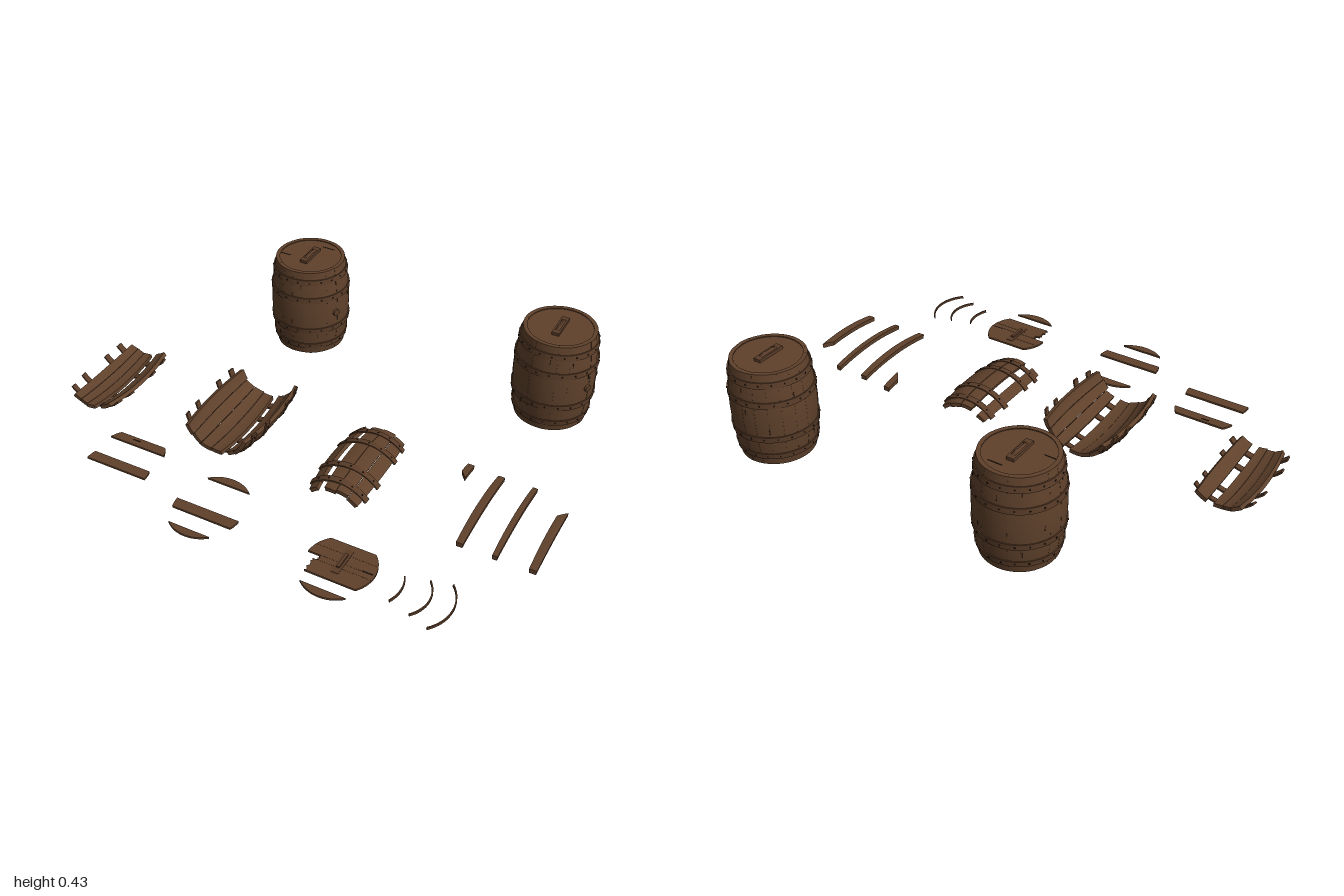
import * as THREE from 'three';
import { mergeGeometries } from 'three/addons/utils/BufferGeometryUtils.js';

const HALF = 0.197; // half the barrel height
const BANDS = [-0.155, -0.075, 0.075, 0.155];
const STAVE = Math.PI / 10;

const mat = (name, color) => {
  const m = new THREE.MeshStandardMaterial({ color });
  m.name = name;
  return m;
};
const WOOD = mat('oak wood', 0x5f412b);
const HOOP = mat('hoop brown', 0x593c28);
const DARK = mat('dark crack', 0x1f150e);

let seed = 7;
const rand = () => (seed = (seed * 16807) % 2147483647) / 2147483647;
const radiusAt = (y) => 0.142 + 0.02 * (1 - (y / HALF) ** 2);

// A box bent around the barrel axis and following its belly
function board({ phi = 0, width, y0, y1, out = 0, thick = 0.016, jag0 = 0, jag1 = 0, rows = 10 }) {
  const cols = Math.max(3, Math.ceil(width / 0.1));
  const g = new THREE.BoxGeometry(1, 1, 1, cols, rows, 1);
  const p = g.attributes.position;
  for (let i = 0; i < p.count; i++) {
    const u = p.getX(i), v = p.getY(i) + 0.5, w = p.getZ(i) + 0.5;
    const y = y0 + (y1 - y0) * v + jag0 * (u + 0.5) * (1 - v) + jag1 * (u + 0.5) * v;
    const r = radiusAt(y) + out - thick * (1 - w);
    const a = phi + u * width;
    p.setXYZ(i, r * Math.sin(a), y, r * Math.cos(a));
  }
  g.computeVertexNormals();
  return g;
}

function add(parent, name, geometry, material, x = 0, y = 0, z = 0) {
  const m = new THREE.Mesh(geometry, material);
  m.name = name;
  m.position.set(x, y, z);
  parent.add(m);
  return m;
}

function group(parent, name, x, y, z) {
  const g = new THREE.Group();
  g.name = name;
  g.position.set(x, y, z);
  parent.add(g);
  return g;
}

// Small nail heads along a hoop
function nails(y, from, to) {
  const list = [];
  for (let a = from + STAVE / 2; a < to; a += STAVE) {
    const n = new THREE.BoxGeometry(0.005, 0.005, 0.004);
    n.translate(0, y, radiusAt(y) + 0.004);
    list.push(n.rotateY(a));
  }
  return mergeGeometries(list);
}

function hoops(parent, from, to, ragged) {
  BANDS.forEach((y) => {
    const a = from - (ragged ? rand() * 0.08 : 0), b = to + (ragged ? rand() * 0.08 : 0);
    add(parent, 'hoop', board({ phi: (a + b) / 2, width: b - a, y0: y - 0.012, y1: y + 0.012, out: 0.004, thick: 0.007, rows: 1 }), HOOP);
    add(parent, 'hoopNails', nails(y, from, to), DARK);
  });
}

function staves(parent, from, to, ragged) {
  const n = Math.max(1, Math.round((to - from) / STAVE)), w = (to - from) / n;
  for (let i = 0; i < n; i++) {
    const j = () => (ragged ? (rand() - 0.5) * 0.012 : 0);
    add(parent, 'stave', board({
      phi: from + (i + 0.5) * w, width: w - (ragged ? 0.012 : 0.001), y0: -HALF + j(), y1: HALF + j(),
      out: (rand() - 0.5) * 0.0016, jag0: j(), jag1: j(),
    }), WOOD);
  }
}

function barrel(parent, x, z, cracked) {
  const g = group(parent, 'barrel', x, 0.217, z);
  staves(g, 0, 2 * Math.PI, false);
  hoops(g, 0, 2 * Math.PI, false);
  add(g, 'lid', new THREE.CylinderGeometry(0.132, 0.132, 0.014, 40), WOOD, 0, 0.186, 0);
  add(g, 'base', new THREE.CylinderGeometry(0.132, 0.132, 0.014, 40), WOOD, 0, -0.186, 0);
  add(g, 'handlePlate', new THREE.BoxGeometry(0.03, 0.012, 0.12), HOOP, 0, 0.199, 0.002);
  add(g, 'handleBar', new THREE.CylinderGeometry(0.005, 0.012, 0.012, 4).rotateY(Math.PI / 4).scale(1, 1, 5), HOOP, 0, 0.21, 0.002);
  // bung on the side
  const bung = add(g, 'bung', new THREE.CylinderGeometry(0.014, 0.016, 0.014, 16).rotateX(Math.PI / 2), HOOP);
  bung.position.setFromCylindricalCoords(0.163, 1.197, -0.002);
  bung.rotation.y = 1.197;
  // split marks in the staves
  for (let i = 0; i < 12; i++) {
    const y = (rand() - 0.5) * 0.3;
    add(g, 'split', board({ phi: i * 0.52 + rand() * 0.3, width: 0.012, y0: y, y1: y + 0.02, out: 0.0016, thick: 0.003, rows: 2 }), DARK);
  }
  if (cracked) {
    add(g, 'lidCrack', new THREE.BoxGeometry(0.055, 0.002, 0.004), DARK, 0.035, 0.193, -0.09);
    add(g, 'lidCrack', new THREE.BoxGeometry(0.05, 0.002, 0.004), DARK, -0.1, 0.193, 0.03);
  }
}

// Broken part of a barrel wall lying on its side
function wreck(parent, name, x, y, runs, from, to) {
  const g = group(parent, name, x, y, 0.115);
  g.rotation.x = Math.PI / 2;
  runs.forEach(([a, b]) => staves(g, a, b, true));
  hoops(g, from, to, true);
}

// Lid plank: the part of a disc between two chords, optionally snapped off at the left
function plank(parent, name, x, y, z, a, b, xMin = -1) {
  const R = 0.13, pts = [];
  const half = (t) => Math.sqrt(Math.max(0, R * R - t * t));
  for (let i = 0; i <= 10; i++) {
    const t = a + (b - a) * Math.sin((i / 10 - 0.5) * Math.PI) / 2 + (b - a) / 2;
    pts.push([half(t), t]);
  }
  const left = pts.map(([h, t], i) => new THREE.Vector2(Math.max(-h, xMin + (xMin > -1 ? (i % 3) * 0.004 : 0)), t)).reverse();
  const shape = new THREE.Shape([...pts.map(([h, t]) => new THREE.Vector2(h, t)), ...left]);
  const geo = new THREE.ExtrudeGeometry(shape, { depth: 0.008, bevelEnabled: false });
  add(parent, name, geo.rotateX(Math.PI / 2), WOOD, x, y, z);
}

export function createModel() {
  const model = new THREE.Group();
  model.name = 'barrelsAndWreckage';

  barrel(model, -0.375, -0.587, true);
  barrel(model, 0.712, -0.587, false);

  // broken wall sections
  wreck(model, 'shallowWallSection', -0.875, 0.19, [[-0.64, 0.15], [0.34, 0.73]], -0.82, 0.8);
  wreck(model, 'deepWallSection', -0.29, 0.188, [[-1.2, 0.17], [0.37, 1.32]], -1.33, 1.42);
  const up = Math.PI; // arched piece faces upward
  wreck(model, 'archedWallSection', 0.215, -0.06, [[up - 0.77, up + 0.28], [up + 0.51, up + 0.8]], up - 0.82, up + 0.82);

  // loose staves: x, width, ends, slant of the broken ends
  [
    [0.583, 0.19, -0.21, -0.115, 0, 0.035],
    [0.71, 0.19, -HALF, HALF, 0, 0],
    [0.842, 0.14, -HALF, HALF, 0, 0],
    [0.981, 0.2, -0.115, HALF, 0.04, 0],
  ].forEach(([x, width, y0, y1, jag0, jag1]) => {
    const g = group(model, 'looseStave', x, -0.098, 0.115);
    g.rotation.x = Math.PI / 2;
    add(g, 'stave', board({ phi: Math.PI, width, y0, y1, jag0: jag0 * 0.9, jag1: -jag1, thick: 0.019 }), WOOD);
  });

  // loose lid planks: x, z centre, chords
  [
    [-0.58, 0.457, -0.082, -0.042],
    [-0.578, 0.553, -0.038, 0.005],
    [-0.155, 0.535, -0.13, -0.094],
    [-0.153, 0.585, 0, 0.045],
    [-0.157, 0.604, 0.098, 0.13],
  ].forEach(([x, z, a, b]) => plank(model, 'loosePlank', x, 0.044, z, a, b));
  add(model, 'plankCrack', new THREE.BoxGeometry(0.03, 0.002, 0.004), DARK, -0.6, 0.0445, 0.39);

  // broken lid with its handle and a separate end piece
  const lid = group(model, 'brokenLid', 0.383, 0, 0.575);
  plank(lid, 'lidPlank', 0, 0.02, 0, -0.095, -0.045);
  plank(lid, 'lidPlank', 0, 0.02, 0, -0.0445, -0.002);
  plank(lid, 'lidPlank', 0, 0.02, 0, -0.0015, 0.022, -0.085);
  plank(lid, 'lidPlank', 0, 0.02, 0, 0.0225, 0.085, -0.1);
  add(lid, 'lidHandle', new THREE.BoxGeometry(0.03, 0.022, 0.12), HOOP, 0, 0.011, -0.01);
  add(lid, 'lidHandleBar', new THREE.BoxGeometry(0.012, 0.008, 0.07), HOOP, 0, 0.025, -0.01);
  add(lid, 'lidCrack', new THREE.BoxGeometry(0.04, 0.002, 0.004), DARK, 0.1, 0.02, -0.004);
  plank(model, 'lidEndPiece', 0.383, 0.02, 0.614, 0.096, 0.13);

  // hoop fragments: outer x, z, radius, half angle
  [[0.622, 0.592, 0.138, 0.47], [0.726, 0.592, 0.127, 0.76], [0.812, 0.595, 0.157, 0.78]].forEach(([x, z, r, a]) => {
    add(model, 'hoopFragment', board({ phi: Math.PI / 2, width: 2 * a, y0: -0.005, y1: 0.005, out: r - 0.162, thick: 0.005, rows: 1 }), HOOP, x - r, 0.022, z);
  });
  return model;
}
